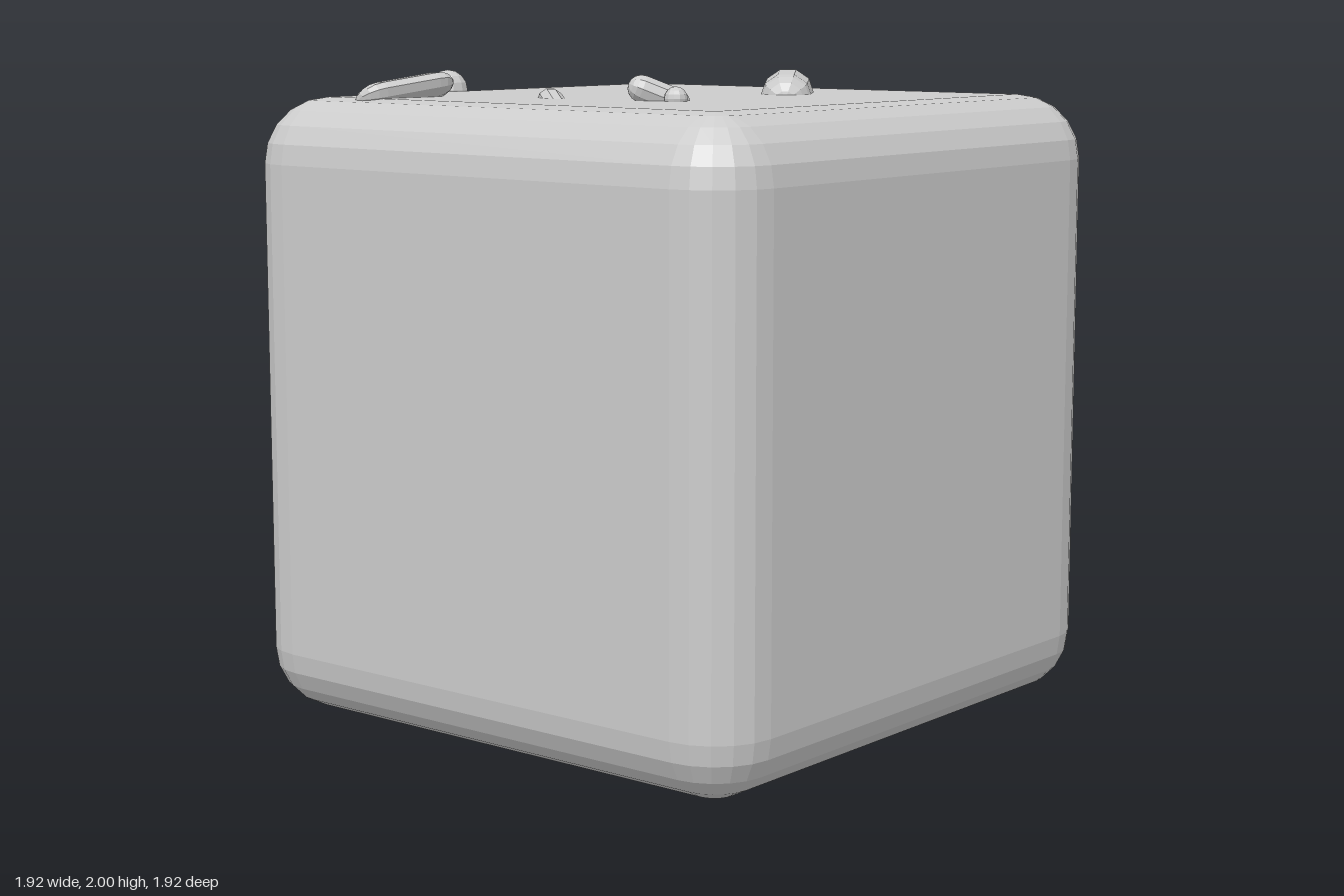
import * as THREE from 'three';

const material = new THREE.MeshStandardMaterial({ color: 0xcccccc, flatShading: true });

// Rounded cube: a stretched sphere grid, with a flat strip between the corner patches
function roundedCube(half, radius, steps) {
  const around = 4 * (steps + 1);
  const rows = 2 * steps + 3;
  const geometry = new THREE.SphereGeometry(1, around, rows);
  const pos = geometry.attributes.position;
  const inner = half - radius;
  for (let row = 0; row <= rows; row++) {
    for (let col = 0; col <= around; col++) {
      const i = row * (around + 1) + col;
      if (row === 0 || row === rows) {
        pos.setXYZ(i, 0, row === 0 ? half : -half, 0);
        continue;
      }
      const c = col % around;
      const corner = Math.floor(c / (steps + 1));
      const phi = (corner + (c % (steps + 1)) / steps) * Math.PI / 2;
      const top = row <= steps + 1;
      const theta = (top ? row - 1 : row - 2) / steps * Math.PI / 2;
      const sx = corner === 0 || corner === 3 ? 1 : -1;
      const sz = corner < 2 ? 1 : -1;
      // angle runs from +x through -z so the faces point outwards
      pos.setXYZ(i,
        sx * inner + radius * Math.sin(theta) * Math.cos(phi),
        (top ? inner : -inner) + radius * Math.cos(theta),
        -sz * inner - radius * Math.sin(theta) * Math.sin(phi));
    }
  }
  geometry.computeVertexNormals();
  return geometry;
}

// Capsule between two points, optionally flattened and rolled about its length
function capsule(name, from, to, radius, flatten = 1, roll = 0) {
  const a = new THREE.Vector3(...from);
  const b = new THREE.Vector3(...to);
  const along = b.clone().sub(a);
  const geometry = new THREE.CapsuleGeometry(radius, along.length(), 4, 10);
  geometry.scale(1, 1, flatten);
  geometry.rotateY(roll);
  const mesh = new THREE.Mesh(geometry, material);
  along.normalize();
  const side = new THREE.Vector3(0, 1, 0).cross(along).normalize();
  const down = side.clone().cross(along);
  mesh.quaternion.setFromRotationMatrix(new THREE.Matrix4().makeBasis(side, along, down));
  mesh.position.copy(a).add(b).multiplyScalar(0.5);
  mesh.name = name;
  return mesh;
}

function ball(name, position, radius) {
  const mesh = new THREE.Mesh(new THREE.SphereGeometry(radius, 12, 8), material);
  mesh.position.set(...position);
  mesh.name = name;
  return mesh;
}

export function createModel() {
  const model = new THREE.Group();
  model.name = 'cubeWithCrumbs';

  const block = new THREE.Mesh(roundedCube(0.96, 0.2, 5), material);
  block.position.y = 0.96;
  block.name = 'block';
  model.add(block);

  // Crumbs half sunk into the top face
  const crumbs = new THREE.Group();
  crumbs.name = 'crumbs';
  crumbs.add(
    capsule('largeCrumb', [0.10, 1.917, -0.44], [0.20, 1.907, -0.297], 0.083, 0.95),
    capsule('flatCrumb', [-0.525, 1.95, 0.553], [-0.575, 1.925, 0.728], 0.073, 0.55, 0.4),
    capsule('smallCrumb', [0.165, 1.955, 0.365], [0.237, 1.915, 0.295], 0.043),
    capsule('sunkenCrumb', [-0.187, 1.908, 0.38], [-0.11, 1.88, 0.435], 0.042),
    ball('edgeBead', [-0.86, 1.92, 0.135], 0.066),
    ball('smallBead', [0.277, 1.928, 0.343], 0.036),
  );
  model.add(crumbs);
  return model;
}
